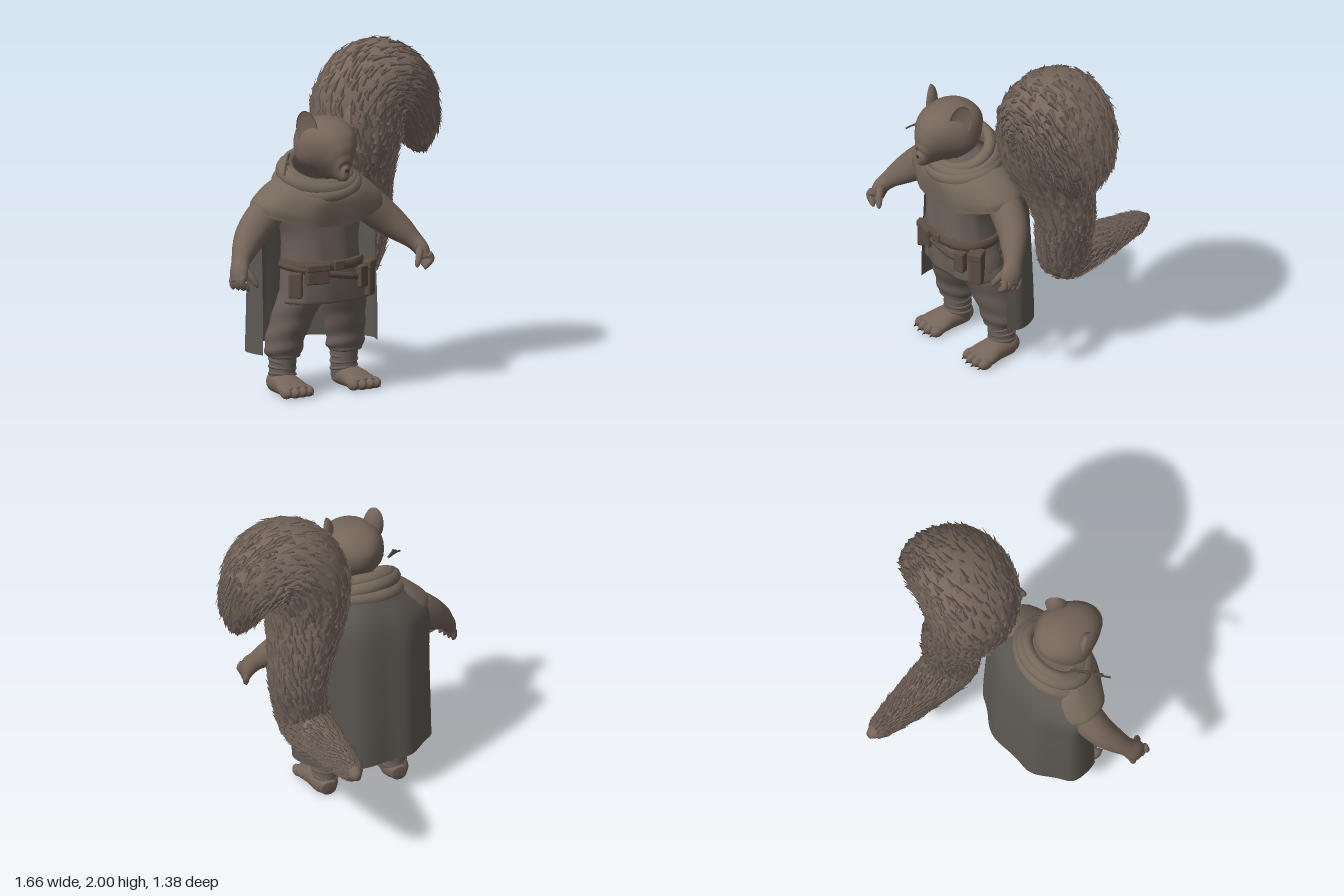
import * as THREE from 'three';
import { mergeGeometries } from 'three/addons/utils/BufferGeometryUtils.js';
import { RoundedBoxGeometry } from 'three/addons/geometries/RoundedBoxGeometry.js';

const V = (x, y, z) => new THREE.Vector3(x, y, z);
const mat = (color, side = THREE.FrontSide) => new THREE.MeshStandardMaterial({ color, side });
const furMat = mat(0x75655a), tuftMat = mat(0x71635a), clothMat = mat(0x6a6058), capeMat = mat(0x5d5852, THREE.DoubleSide);
const ponchoMat = mat(0x75685c, THREE.DoubleSide), leatherMat = mat(0x5c4d43), darkMat = mat(0x3a332f);

// Sweeps an ellipse along rows of [x, y, z, a, b]; a lies along the start normal (x), b across it.
function loft(rows, { seg = 24, steps = 32, flat = false, cap = true, pow = 1, arc = null, warp = null } = {}) {
  const path = new THREE.CatmullRomCurve3(rows.map(r => V(r[0], r[1], r[2])), false, 'catmullrom');
  const size = new THREE.CatmullRomCurve3(rows.map(r => V(r[3], r[4], 0)), false, 'catmullrom');
  const pos = [], idx = [], N = V(1, 0, 0), cols = arc ? seg + 1 : seg;
  const se = v => Math.sign(v) * Math.abs(v) ** pow;
  for (let i = 0; i <= steps; i++) {
    const t = i / steps, c = path.getPoint(t), s = size.getPoint(t);
    const T = flat ? V(0, 1, 0) : path.getTangent(t);
    N.addScaledVector(T, -N.dot(T)).normalize();
    const B = T.clone().cross(N);
    for (let j = 0; j < cols; j++) {
      const th = arc ? arc[0] + (arc[1] - arc[0]) * j / seg : j / seg * Math.PI * 2;
      const p = c.clone().addScaledVector(N, s.x * se(Math.cos(th))).addScaledVector(B, s.y * se(Math.sin(th)));
      if (warp) warp(p, th, t, c);
      pos.push(p.x, p.y, p.z);
    }
  }
  for (let i = 0; i < steps; i++) for (let j = 0; j < seg; j++) {
    const k = (j + 1) % cols, a = i * cols + j, b = i * cols + k;
    idx.push(a, b, b + cols, a, b + cols, a + cols);
  }
  if (cap && !arc) {
    const n = pos.length / 3, last = steps * cols;
    for (const t of [0, 1]) pos.push(...path.getPoint(t).toArray());
    for (let j = 0; j < seg; j++) {
      const k = (j + 1) % seg;
      idx.push(n, k, j, n + 1, last + j, last + k);
    }
  }
  const g = new THREE.BufferGeometry();
  g.setAttribute('position', new THREE.Float32BufferAttribute(pos, 3));
  g.setIndex(idx);
  g.computeVertexNormals();
  return g;
}

function seeded(seed) {
  return () => (seed = (seed * 16807) % 2147483647) / 2147483647;
}

// Flat overlapping locks lying along the sweep direction of a lofted surface.
function tufts(g, seg, steps) {
  const rnd = seeded(77), P = g.attributes.position, parts = [];
  const at = i => V().fromBufferAttribute(P, i);
  for (let i = 4; i < steps - 1; i++) for (let j = 0; j < seg; j++) {
    const k = i * seg + j, n = V().fromBufferAttribute(g.attributes.normal, k), p = at(k);
    const along = at(k + seg).sub(p), across = at(i * seg + (j + 1) % seg).sub(p);
    p.addScaledVector(along, rnd() - 0.5).addScaledVector(across, rnd() - 0.5);
    const dir = along.normalize().addScaledVector(n, 0.04 + rnd() * 0.12);
    dir.addScaledVector(V(rnd() - 0.5, rnd() - 0.5, rnd() - 0.5), 0.45).normalize();
    const side = dir.clone().cross(n).normalize(), size = Math.min(1, 0.5 + i / steps);
    const lock = new THREE.ConeGeometry(1, 1, 4, 1, true);
    lock.scale((0.016 + rnd() * 0.016) * size, (0.06 + rnd() * 0.06) * size, 0.006);
    lock.applyMatrix4(new THREE.Matrix4().makeBasis(side, dir, side.clone().cross(dir)));
    parts.push(lock.translate(p.x + dir.x * 0.02, p.y + dir.y * 0.02, p.z + dir.z * 0.02));
  }
  return mergeGeometries(parts);
}

export function createModel() {
  const root = new THREE.Group();
  const add = (name, geo, m) => {
    const mesh = new THREE.Mesh(geo, m);
    mesh.name = name;
    root.add(mesh);
    return mesh;
  };
  const ball = (name, m, x, y, z, sx, sy, sz) => {
    const b = add(name, new THREE.SphereGeometry(1, 16, 12), m);
    b.position.set(x, y, z);
    b.scale.set(sx, sy, sz);
    return b;
  };

  // Bushy tail: runs forward, bends up and curls over to the left
  const tailRows = [
    [.26, .665, -.685, .02, .025], [.265, .665, -.6, .063, .062], [.285, .665, -.4, .106, .092], [.31, .67, -.2, .135, .12],
    [.33, .69, -.03, .15, .15], [.35, .82, 0, .155, .172], [.36, 1, 0, .172, .19], [.32, 1.22, .03, .205, .23],
    [.28, 1.45, .085, .242, .285], [.305, 1.64, .1, .266, .3], [.42, 1.735, .11, .255, .3], [.555, 1.665, .12, .23, .288],
    [.635, 1.545, .13, .168, .245], [.67, 1.43, .13, .122, .18], [.7, 1.325, .13, .04, .07]];
  const tail = loft(tailRows, { seg: 40, steps: 80 });
  add('tail', tail, furMat);
  add('tailFur', tufts(tail, 40, 80), tuftMat);

  // Head with sloping brow, slim muzzle and narrow jaw
  const hx = -0.16;
  add('head', loft([[hx, 1.46, .26, .03, .03], [hx, 1.475, .3, .115, .12], [hx, 1.485, .37, .17, .165], [hx, 1.48, .45, .184, .178],
    [hx, 1.455, .52, .158, .182], [hx, 1.42, .575, .112, .155], [hx, 1.385, .62, .07, .1], [hx, 1.362, .655, .046, .062],
    [hx, 1.362, .685, .02, .028]], {
    seg: 32, steps: 40, pow: .87, warp: p => {
      p.x = hx + (p.x - hx) * (1 - .35 * THREE.MathUtils.clamp((1.42 - p.y) / .15, 0, 1));
    } }), furMat);
  ball('nose', darkMat, hx, 1.376, .676, .02, .014, .014);

  // Cowl folds around the neck, low in front and high behind
  [[1.3, .355, .2, .048, .4], [1.335, .355, .182, .036, .5], [1.255, .35, .22, .045, .3]].forEach(([y, z, R, r, tilt], i) => {
    const c = add('cowlFold' + (i + 1), new THREE.TorusGeometry(R, r, 12, 40), ponchoMat);
    c.rotation.set(Math.PI / 2 + tilt, 0.06 * (i - 1), 0);
    c.position.set(hx, y, z);
    c.scale.set(1.05, .88, 1);
  });

  // Shoulder cape with hem rising over the arms and a low neckline, tucked under the cloak behind
  add('shoulderCape', loft([[-.145, 1.02, .31, .43, .245], [-.15, 1.1, .31, .42, .255], [-.155, 1.2, .32, .335, .25],
    [-.16, 1.28, .345, .255, .21], [-.16, 1.34, .36, .19, .16]], {
    seg: 48, flat: true, cap: false, pow: .92, warp: (p, th, t, c) => {
      p.y += .09 * (1 - t) * Math.cos(th) ** 2 - .13 * t * t * Math.max(0, -Math.sin(th));
      p.z += .008 * Math.sin(th * 9) * (1 - t);
      if (p.z < c.z) p.z = c.z + (p.z - c.z) * .72;
    } }), ponchoMat);

  // Long cloak hanging from the cowl, open at the front
  add('cloak', loft([[-.14, .26, .28, .425, .285], [-.14, .5, .28, .422, .275], [-.142, .85, .275, .415, .245],
    [-.148, 1.08, .28, .415, .225], [-.155, 1.19, .29, .345, .21], [-.16, 1.28, .31, .25, .19], [-.16, 1.36, .33, .19, .17]], {
    seg: 48, steps: 40, flat: true, arc: [-.28, Math.PI + .28], warp: (p, th, t) => {
      p.z += .012 * Math.sin(th * 8) * (1 - t);
      p.x += .008 * Math.sin(th * 6) * (1 - t);
    } }), capeMat);

  // Tunic
  add('tunic', loft([[-.125, .56, .37, .28, .165], [-.13, .66, .37, .265, .175], [-.145, .78, .37, .24, .18],
    [-.15, .95, .37, .235, .172], [-.155, 1.12, .36, .27, .17], [-.16, 1.24, .36, .18, .14]], {
    seg: 40, flat: true, pow: .85, warp: (p, th, t) => { p.z += .007 * Math.sin(th * 10 + t * 6); } }), clothMat);

  // Two belts, the lower one slung at a slant
  [['belt', .79, .06, .243, 0], ['slungBelt', .73, .04, .253, .18]].forEach(([name, y, h, a, slope]) =>
    add(name, loft([[-.14, y - h / 2, .37, a, .186], [-.14, y, .37, a + .01, .196], [-.14, y + h / 2, .37, a, .186]], {
      seg: 40, steps: 6, flat: true, pow: .85, warp: p => { p.y -= slope * (p.x + .14); } }), leatherMat));

  // Pouches and buckle: x, y, z, width, height, depth, turn
  [['frontPouch', -.27, .74, .53, .14, .11, .06, -.2], ['sidePouchRight', -.37, .68, .46, .08, .15, .1, -.7],
    ['sidePouchLeft', .115, .67, .46, .08, .2, .08, .6], ['smallPouchLeft', .04, .7, .52, .07, .13, .06, .3],
    ['buckle', -.14, .79, .565, .07, .06, .02, 0], ['frontPouchFlap', -.27, .785, .535, .15, .045, .065, -.2],
    ['sidePouchFlap', .115, .755, .465, .09, .05, .09, .6]].forEach(([name, x, y, z, w, h, d, turn]) => {
    const b = add(name, new RoundedBoxGeometry(w, h, d, 2, .01), leatherMat);
    b.position.set(x, y, z);
    b.rotation.y = turn;
  });

  // Sprig tucked into the right side of the cowl
  for (let i = 0; i < 3; i++) add('sprig' + (i + 1), new THREE.TubeGeometry(new THREE.QuadraticBezierCurve3(
    V(-.49 + i * .035, 1.35 + i * .025, .52 - i * .03), V(-.44, 1.4 + i * .015, .45), V(-.34, 1.44, .34)), 10, .006, 6), leatherMat);

  for (const s of [-1, 1]) {
    const side = s > 0 ? 'left' : 'right';

    // Cupped ears
    const earGeo = new THREE.SphereGeometry(1, 20, 14), q = earGeo.attributes.position;
    for (let i = 0; i < q.count; i++) if (q.getZ(i) > 0) q.setZ(i, -.3 * q.getZ(i));
    earGeo.computeVertexNormals();
    const ear = add(side + 'Ear', earGeo, furMat);
    ear.scale.set(.066, .115, .05);
    ear.position.set(hx + s * .152, 1.6, .485);
    ear.rotation.set(0, s * .95, -s * .16);

    // Eyes and brows
    ball(side + 'Eye', darkMat, hx + s * .092, 1.465, .573, .02, .011, .014);
    ball(side + 'Brow', furMat, hx + s * .09, 1.495, .56, .042, .014, .024).rotation.z = s * .3;

    // Arm, hand and fingers
    const ax = o => -.148 + s * o;
    add(side + 'Arm', loft([[ax(.24), 1.17, .3, .09, .09], [ax(.36), 1.075, .32, .105, .1], [ax(.46), .99, .35, .098, .09],
      [ax(.54), .915, .4, .077, .072], [ax(.595), .855, .445, .054, .056], [ax(.627), .805, .48, .044, .065],
      [ax(.64), .75, .5, .032, .058]], { seg: 20 }), furMat);
    for (let f = 0; f < 4; f++) {
      const z = .445 + f * .034;
      add(side + 'Finger' + (f + 1), loft([[ax(.637), .79, z, .022, .02], [ax(.652), .755, z + .003, .022, .02],
        [ax(.655 - f * .012), .72, z + .008, .017, .016], [ax(.65 - f * .015), .7, z + .01, .006, .006]], { seg: 8, steps: 10 }), furMat);
    }
    add(side + 'Thumb', loft([[ax(.61), .83, .5, .025, .025], [ax(.58), .78, .535, .022, .022],
      [ax(.555), .735, .555, .016, .016], [ax(.55), .715, .56, .005, .005]], { seg: 8, steps: 10 }), furMat);

    // Baggy trouser leg with creases
    const lx = o => -.125 + s * o;
    add(side + 'TrouserLeg', loft([[lx(.21), .21, .26, .08, .085], [lx(.212), .235, .265, .108, .105], [lx(.208), .32, .275, .115, .118],
      [lx(.18), .45, .31, .124, .128], [lx(.145), .58, .35, .137, .14], [lx(.13), .66, .36, .12, .14]], {
      seg: 28, steps: 36, flat: true, warp: (p, th, t, c) => {
        const k = 1 + .05 * Math.sin(t * 30 + 2 * Math.sin(th)) * (1 - t);
        p.x = c.x + (p.x - c.x) * k;
        p.z = c.z + (p.z - c.z) * k;
      } }), clothMat);

    // Wrapped shin
    add(side + 'Shin', loft([[lx(.22), .03, .25, .075, .08], [lx(.212), .13, .255, .076, .082], [lx(.21), .25, .26, .08, .085]],
      { seg: 20, flat: true }), clothMat);
    for (let w = 0; w < 3; w++) {
      const wrap = add(side + 'ShinWrap' + (w + 1), new THREE.TorusGeometry(.076, .009, 8, 24), clothMat);
      wrap.position.set(lx(.212), .11 + w * .04, .255);
      wrap.rotation.set(Math.PI / 2 + .12 * (w - 1), s * .1, 0);
    }

    // Foot with four clawed toes
    add(side + 'Foot', loft([[lx(.222), .05, .168, .045, .045], [lx(.222), .06, .22, .075, .062], [lx(.225), .058, .32, .083, .062],
      [lx(.23), .044, .41, .1, .045], [lx(.232), .036, .465, .092, .033]], {
      seg: 24, pow: .9, warp: p => { p.y = Math.max(p.y, .003); } }), furMat);
    for (let t = 0; t < 4; t++) {
      const o = .155 + t * .051, z = .465 - .012 * Math.abs(t - 1.5);
      ball(side + 'Toe' + (t + 1), furMat, lx(o), .036, z, .029, .034, .047);
      const claw = add(side + 'Claw' + (t + 1), new THREE.ConeGeometry(.011, .03, 6), darkMat);
      claw.position.set(lx(o), .022, z + .048);
      claw.rotation.x = Math.PI / 2 + .25;
    }
  }
  return root;
}
